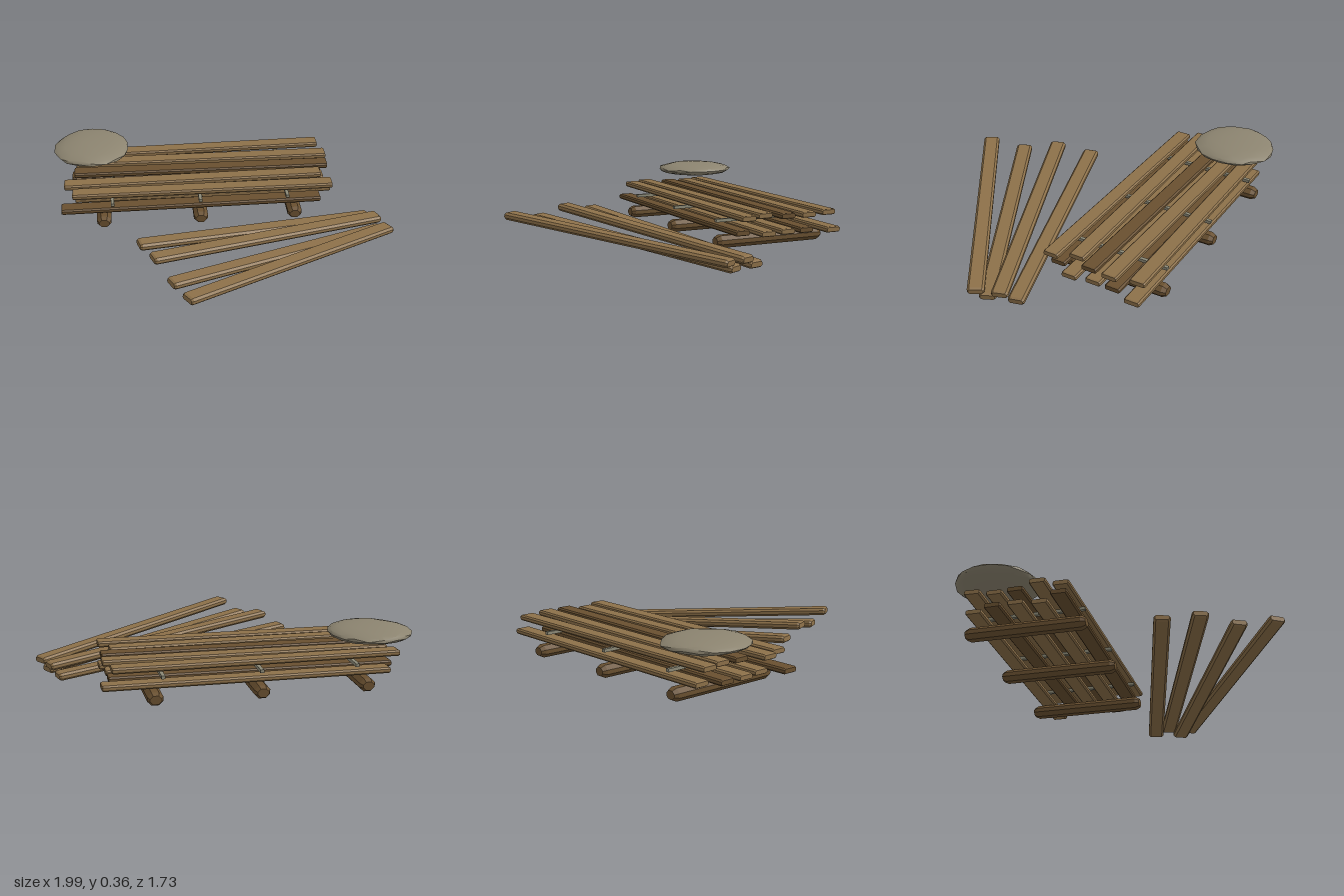
import * as THREE from 'three';
import { mergeVertices, toCreasedNormals } from 'three/addons/utils/BufferGeometryUtils.js';

const mat = (name, color) => Object.assign(new THREE.MeshStandardMaterial({ color }), { name });

// Chamfered timber running along +x, centred on the origin
function timberGeometry(length, height, width, chamfer, endTaper, endInset) {
  const a = width / 2 - endInset, b = height / 2 - endInset, c = chamfer;
  const shape = new THREE.Shape([
    [-a + c, -b], [a - c, -b], [a, -b + c], [a, b - c],
    [a - c, b], [-a + c, b], [-a, b - c], [-a, -b + c],
  ].map(([x, y]) => new THREE.Vector2(x, y)));
  const depth = length - 2 * endTaper;
  const g = new THREE.ExtrudeGeometry(shape, {
    depth, bevelEnabled: true, bevelSegments: 1, bevelSize: endInset, bevelThickness: endTaper,
  });
  g.translate(0, 0, -depth / 2);
  g.rotateY(Math.PI / 2);
  return g;
}

// Squashed, slightly irregular boulder
function stoneGeometry() {
  let g = new THREE.IcosahedronGeometry(1, 2);
  g.deleteAttribute('normal');
  g.deleteAttribute('uv');
  g = mergeVertices(g, 1e-4);
  const p = g.attributes.position, v = new THREE.Vector3();
  for (let i = 0; i < p.count; i++) {
    v.fromBufferAttribute(p, i);
    const k = 1 + 0.04 * Math.sin(v.x * 5 + v.z * 3) * Math.cos(v.y * 4 - v.z * 4);
    p.setXYZ(i, v.x * k, v.y * k, v.z * k);
  }
  g.scale(0.23, 0.042, 0.237);
  return toCreasedNormals(g, 0.7);
}

export function createModel() {
  const model = new THREE.Group();
  model.name = 'lumberPile';
  const wood = mat('wood', 0x8c7049);
  const darkWood = mat('darkWood', 0x695030);
  const spacerGrey = mat('spacerGrey', 0x8c8a78);
  const stoneGrey = mat('stoneGrey', 0x8c8470);

  const add = (name, geometry, material, x, y, z, yaw = 0, parent = model) => {
    const mesh = new THREE.Mesh(geometry, material);
    mesh.name = name;
    mesh.position.set(x, y, z);
    mesh.rotation.y = yaw;
    parent.add(mesh);
    return mesh;
  };

  // Ground bearers
  const bearer = timberGeometry(0.68, 0.07, 0.085, 0.016, 0.025, 0.012);
  for (const x of [-0.71, -0.13, 0.44]) add('bearer', bearer, darkWood, x, 0.068, -0.48, Math.PI / 2);

  // Two layers of stacked planks: [centre x, centre z, yaw, material]
  const plank = timberGeometry(1.56, 0.032, 0.092, 0.006, 0.008, 0.004);
  const layers = [
    ['lowerPlank', 0.135, [
      [-0.18, -0.224, 0.006, darkWood], [-0.1, -0.348, -0.003, wood], [-0.12, -0.479, 0.003, wood],
      [-0.12, -0.604, -0.004, darkWood], [-0.068, -0.738, 0.008, wood]]],
    ['upperPlank', 0.226, [
      [-0.11, -0.23, -0.004, wood], [-0.16, -0.353, 0.008, wood], [-0.1, -0.48, -0.014, darkWood],
      [-0.09, -0.604, -0.01, wood], [-0.12, -0.736, 0.014, wood]]],
  ];
  for (const [name, y, rows] of layers)
    for (const [x, z, yaw, m] of rows) add(name, plank, m, x, y, z, yaw);

  // Thin spacers between the layers
  const spacer = new THREE.BoxGeometry(0.02, 0.018, 0.625);
  for (const x of [-0.655, -0.13, 0.395]) add('spacer', spacer, spacerGrey, x, 0.179, -0.478);

  // Fanned loose planks: [high end, low end]
  const fan = [
    [[-0.515, 0.147, 0.225], [0.89, 0.024, -0.145]],
    [[-0.445, 0.182, 0.425], [0.932, 0.064, -0.07]],
    [[-0.355, 0.147, 0.622], [0.938, 0.024, 0.005]],
    [[-0.28, 0.182, 0.822], [0.972, 0.064, 0.055]],
  ];
  const xAxis = new THREE.Vector3(1, 0, 0);
  for (const [high, low] of fan) {
    const a = new THREE.Vector3(...high), b = new THREE.Vector3(...low);
    const d = b.clone().sub(a), mid = a.clone().lerp(b, 0.5);
    const yaw = Math.atan2(-d.z, d.x);
    const mesh = add('loosePlank', timberGeometry(d.length(), 0.042, 0.094, 0.008, 0.012, 0.007),
      wood, mid.x, mid.y, mid.z);
    // Turn about y, then dip the far end
    const dip = new THREE.Quaternion().setFromAxisAngle(new THREE.Vector3(0, 0, 1), Math.asin(d.y / d.length()));
    mesh.quaternion.setFromAxisAngle(new THREE.Vector3(0, 1, 0), yaw).multiply(dip);
  }

  // Stone weighing down the stack
  add('stone', stoneGeometry(), stoneGrey, -0.768, 0.322, -0.635);
  return model;
}
